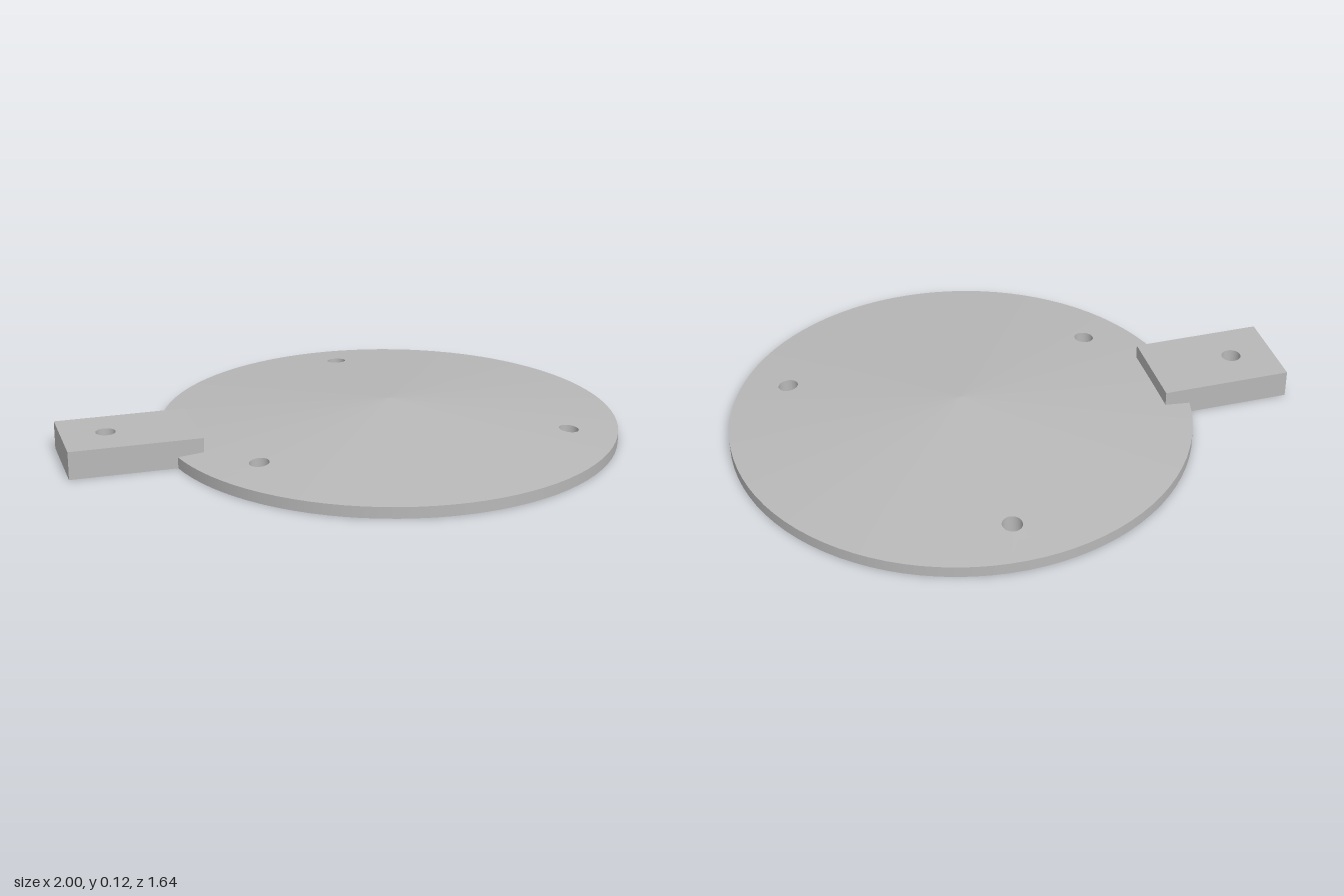
import * as THREE from 'three';

const RADIUS = 0.821, RIM = 0.04, RISE = 0.08; // shallow conical disc
const CENTRE_X = 1 - RADIUS;
const HOLE_R = 0.035, HOLE_DIST = 0.65;
const rad = THREE.MathUtils.degToRad;
const coneHeight = (x, z) => RIM + RISE * (1 - Math.hypot(x, z) / RADIUS);

function circleHole(x, y) {
  return new THREE.Path().absarc(x, y, HOLE_R, 0, Math.PI * 2, true);
}

// Raise every vertex accepted by the test onto the cone
function liftToCone(geometry, test = () => true) {
  const p = geometry.attributes.position;
  for (let i = 0; i < p.count; i++) {
    if (test(p.getY(i))) p.setY(i, coneHeight(p.getX(i), p.getZ(i)));
  }
  geometry.computeVertexNormals();
  return geometry;
}

export function createModel() {
  const model = new THREE.Group();
  model.name = 'conicalPlateWithTab';
  const grey = new THREE.MeshStandardMaterial({ color: 0xb8b8b8 });
  grey.name = 'grey';
  const greyInside = new THREE.MeshStandardMaterial({ color: 0xb8b8b8, side: THREE.DoubleSide });
  greyInside.name = 'grey hole wall';

  const add = (parent, name, geometry, material = grey) => {
    const mesh = new THREE.Mesh(geometry, material);
    mesh.name = name;
    parent.add(mesh);
    return mesh;
  };

  const disc = new THREE.Group();
  disc.name = 'disc';
  disc.position.x = CENTRE_X;
  model.add(disc);

  // Rim wall
  add(disc, 'rim', new THREE.CylinderGeometry(RADIUS, RADIUS, RIM, 90, 1, true).translate(0, RIM / 2, 0));

  // Flat underside with the three holes
  const angles = [90, 210, 330].map(rad);
  const base = new THREE.Shape().absarc(0, 0, RADIUS, 0, Math.PI * 2, false);
  for (const a of angles) base.holes.push(circleHole(HOLE_DIST * Math.cos(a), -HOLE_DIST * Math.sin(a)));
  add(disc, 'underside', new THREE.ShapeGeometry(base, 45).rotateX(Math.PI / 2));

  // Narrow drilled wedge of the cone, lying along +x
  const wedge = new THREE.Shape([-4, 0, 4].map(d =>
    new THREE.Vector2(RADIUS * Math.cos(rad(d)), RADIUS * Math.sin(rad(d)))));
  wedge.lineTo(0, 0);
  wedge.holes.push(circleHole(HOLE_DIST, 0));
  const wedgeGeometry = liftToCone(new THREE.ShapeGeometry(wedge, 16).rotateX(-Math.PI / 2));

  // Plain cone between one drilled wedge and the next
  const sectorGeometry = new THREE.ConeGeometry(RADIUS, RISE, 28, 1, true, rad(94), rad(112))
    .translate(0, RIM + RISE / 2, 0);

  // Hole wall trimmed to the slope
  const wallGeometry = liftToCone(
    new THREE.CylinderGeometry(HOLE_R, HOLE_R, RIM, 32, 1, true).translate(HOLE_DIST, RIM / 2, 0),
    y => y > RIM / 2);

  for (const a of angles) {
    const third = new THREE.Group();
    third.name = 'discThird';
    third.rotation.y = a;
    disc.add(third);
    add(third, 'drilledTop', wedgeGeometry);
    add(third, 'plainTop', sectorGeometry);
    add(third, 'holeWall', wallGeometry, greyInside);
  }

  // Mounting tab with its own hole
  const x0 = -1, x1 = -0.535, half = 0.157;
  const tab = new THREE.Shape([[x0, -half], [x1, -half], [x1, half], [x0, half]]
    .map(([x, y]) => new THREE.Vector2(x, y)));
  tab.holes.push(circleHole(-0.845, 0));
  add(model, 'mountingTab', new THREE.ExtrudeGeometry(tab, { depth: 0.1, bevelEnabled: false, curveSegments: 32 })
    .rotateX(-Math.PI / 2));

  return model;
}
